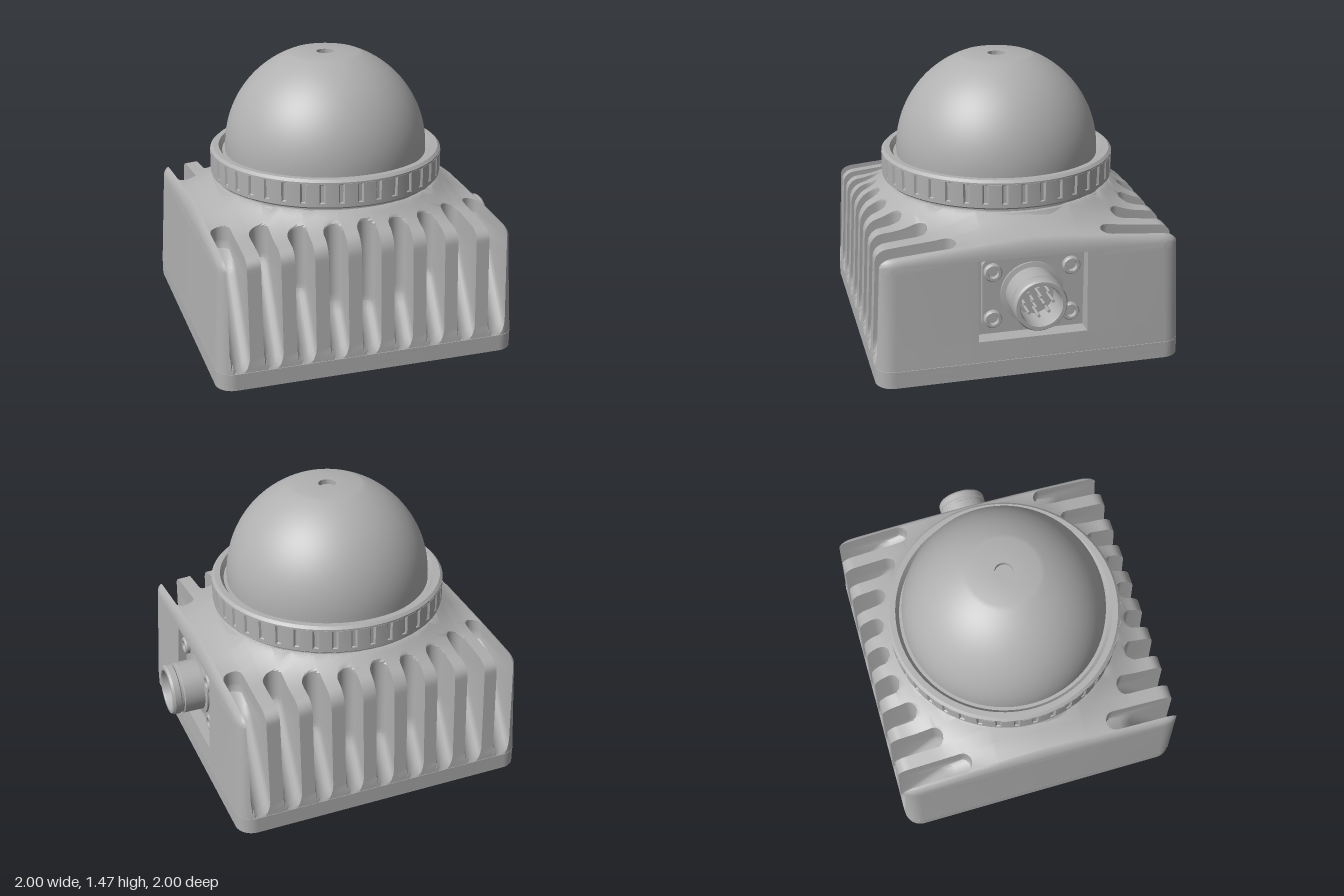
import * as THREE from 'three';
import { toCreasedNormals } from 'three/addons/utils/BufferGeometryUtils.js';

const grey = new THREE.MeshStandardMaterial({ color: 0xb0b0b0 });
grey.name = 'cast grey';

const HALF = 0.79;      // half width of the housing
const WALL_TOP = 0.62;  // where the side walls start to round over
const POCKET = { z: 0.28, bottom: 0.2, top: WALL_TOP, floor: 0.7 };
const AXIS_Y = 0.425;   // height of the connector

function add(parent, name, geometry, x = 0, y = 0, z = 0) {
  const mesh = new THREE.Mesh(geometry, grey);
  mesh.name = name;
  mesh.position.set(x, y, z);
  parent.add(mesh);
  return mesh;
}

function lathe(points, segments = 64) {
  const g = new THREE.LatheGeometry(points.map(([r, y]) => new THREE.Vector2(r, y)), segments);
  return toCreasedNormals(g, 0.5);
}

const clamp01 = (v) => Math.min(1, Math.max(0, v));
const draft = (y) => 0.028 * (Math.min(y, WALL_TOP) - 0.09) / 0.53;

// Roof height: gentle slope that flares up to the round neck
function roof(x, z) {
  const r = Math.max(0.58, Math.hypot(x, z));
  return 0.66 + 0.14 * Math.max(0, 1.05 - r) + 0.08 * clamp01((0.8 - r) / 0.2) ** 2;
}

const wallRows = [0.09, 0.11];
for (let k = 0; k <= 16; k++) wallRows.push(0.14 + 0.03 * k);

// One half section (front wall, rounded shoulder, roof) as [x, y, z] points;
// a slot pushes the points back to its sloping floor
function halfSection(u, slot) {
  const a = Math.abs(u);
  const e = Math.max(0, a - 0.7);
  const corner = 0.09 - Math.sqrt(Math.max(0, 0.0081 - e * e));
  const round = Math.sqrt(Math.max(0, 1 - (Math.max(0, a - 0.73) / 0.06) ** 2));
  const pts = wallRows.map((y) => [y, HALF - corner - draft(y)]);
  const top = HALF - corner - draft(WALL_TOP);
  const lift = (z, s) => WALL_TOP + (roof(u, z) - WALL_TOP) * round * s;
  for (let i = 1; i <= 6; i++) {
    const t = (i / 6) * Math.PI / 2;
    const z = top - 0.06 * (1 - Math.cos(t));
    pts.push([lift(z, Math.sin(t)), z]);
  }
  for (let i = 1; i <= 30; i++) {
    const z = (top - 0.06) * (1 - i / 45);
    pts.push([lift(z, 1), z]);
  }
  pts.push([lift(0, 1), 0]);
  return pts.map(([y, z]) => {
    if (slot) {
      const slope = HALF - 0.66 * (y - 0.09) - 2 * Math.max(0, y - 0.55);
      z = Math.min(z, Math.max(slot.end, slope) + slot.offset);
    }
    const x = Math.sign(u) * (a - clamp01((a - 0.73) / 0.06) * draft(y));
    return [x, y, z];
  });
}

function fullSection(u, slot) {
  const half = halfSection(u, slot);
  const back = half.slice(0, -1).reverse().map(([x, y, z]) => [x, y, -z]);
  return [...half, ...back];
}

// Housing: sections lofted along x, alternating fins and slots
function housingGeometry() {
  const ends = [0.79, 0.788, 0.782, 0.772, 0.758, 0.745];
  const sections = ends.map((u) => fullSection(-u));
  const slotEnds = [0.64, 0.63, 0.58, 0.48, 0.37];
  for (let i = -4; i <= 4; i++) {
    const x = i * 0.17, w = 0.05;
    sections.push(fullSection(x - w));
    for (const d of [-1, -0.92, -0.7, -0.35, 0, 0.35, 0.7, 0.92, 1]) {
      const offset = w * (1 - Math.sqrt(1 - d * d));
      sections.push(fullSection(x + d * w, { end: slotEnds[Math.abs(i)], offset }));
    }
    sections.push(fullSection(x + w));
  }
  sections.push(...ends.slice().reverse().map((u) => fullSection(u)));

  const pos = [];
  const v = (p) => new THREE.Vector3(...p);
  const tri = (a, b, c) => {
    const area = v(b).sub(v(a)).cross(v(c).sub(v(a))).length();
    if (area > 1e-8) pos.push(...a, ...b, ...c);
  };
  const quad = (a, b, c, d) => { tri(a, b, c); tri(a, c, d); };
  const n = sections[0].length;
  for (let s = 0; s < sections.length - 1; s++) {
    const p = sections[s], q = sections[s + 1];
    for (let r = 0; r < n - 1; r++) quad(p[r], q[r], q[r + 1], p[r + 1]);
  }
  // End walls; the right one leaves an opening for the connector pocket
  const left = sections[0], right = sections[sections.length - 1];
  const at = (p, z) => [p[0], p[1], z];
  for (let i = 0; i < wallRows.length - 1; i++) {
    quad(left[n - 1 - i], left[i], left[i + 1], left[n - 2 - i]);
    const f = right[i], f2 = right[i + 1], b = right[n - 1 - i], b2 = right[n - 2 - i];
    if (wallRows[i] > POCKET.bottom - 0.001) {
      quad(f, at(f, POCKET.z), at(f2, POCKET.z), f2);
      quad(at(b, -POCKET.z), b, b2, at(b2, -POCKET.z));
    } else quad(f, b, b2, f2);
  }
  const g = new THREE.BufferGeometry();
  g.setAttribute('position', new THREE.Float32BufferAttribute(pos, 3));
  return toCreasedNormals(g, 0.55);
}

// Open box seen from inside, its rim following the drafted wall
function pocketGeometry() {
  const h = POCKET.top - POCKET.bottom;
  const g = new THREE.BoxGeometry(0.1, h, POCKET.z * 2);
  g.setIndex(Array.from(g.index.array).slice(6));
  g.scale(1, 1, -1);
  const p = g.attributes.position;
  for (let i = 0; i < p.count; i++) {
    const y = p.getY(i) + (POCKET.top + POCKET.bottom) / 2;
    p.setXYZ(i, p.getX(i) > 0 ? HALF - draft(y) : POCKET.floor, y, p.getZ(i));
  }
  const flat = g.toNonIndexed();
  flat.computeVertexNormals();
  return flat;
}

function roundedRect(hx, hy, r) {
  const s = new THREE.Shape();
  s.absarc(hx - r, hy - r, r, 0, Math.PI / 2);
  s.absarc(-hx + r, hy - r, r, Math.PI / 2, Math.PI);
  s.absarc(-hx + r, -hy + r, r, Math.PI, Math.PI * 1.5);
  s.absarc(hx - r, -hy + r, r, Math.PI * 1.5, Math.PI * 2);
  s.closePath();
  return s;
}

function slab(shape, depth) {
  const g = new THREE.ExtrudeGeometry(shape, { depth, bevelEnabled: false, curveSegments: 16 });
  return toCreasedNormals(g.rotateX(-Math.PI / 2), 0.5);
}

export function createModel() {
  const model = new THREE.Group();
  const unit = new THREE.Group();
  unit.name = 'sensorUnit';
  unit.rotation.y = -THREE.MathUtils.degToRad(22);
  model.add(unit);

  // Base plate with screw holes underneath
  const plate = roundedRect(HALF, HALF, 0.09);
  const holes = [[0, 0.39, 0.022], [0, -0.59, 0.035]];
  for (const sx of [-1, 1]) for (const sz of [-1, 1]) {
    holes.push([sx * 0.69, sz * 0.69, 0.05], [sx * 0.56, sz * 0.45, 0.022]);
    add(unit, 'baseScrew', new THREE.CylinderGeometry(0.036, 0.036, 0.03, 20), sx * 0.69, 0.035, sz * 0.69);
  }
  for (const [x, y, r] of holes) plate.holes.push(new THREE.Path().absarc(x, y, r, 0, Math.PI * 2, true));
  add(unit, 'basePlate', slab(plate, 0.05));
  add(unit, 'basePlateTop', slab(roundedRect(HALF, HALF, 0.09), 0.038), 0, 0.05);

  add(unit, 'finnedHousing', housingGeometry());
  add(unit, 'connectorPocket', pocketGeometry());

  // Neck and gripped clamp ring
  add(unit, 'neck', lathe([[0.615, 0.77], [0.6, 0.795], [0.59, 0.8], [0.59, 0.83]]));
  add(unit, 'clampRing', lathe([[0.57, 0.815], [0.6, 0.815], [0.612, 0.825], [0.612, 0.845], [0.604, 0.85],
    [0.604, 0.94], [0.614, 0.945], [0.614, 0.955], [0.6, 0.968], [0.57, 0.968], [0.552, 0.94], [0.52, 0.94]], 96));
  const grip = new THREE.Shape();
  const teeth = 40, step = (Math.PI * 2) / teeth;
  for (let i = 0; i < teeth; i++) {
    for (const [f, r] of [[0, 0.605], [0.08, 0.615], [0.42, 0.616], [0.76, 0.615], [0.84, 0.605]]) {
      const a = (i + f) * step, x = r * Math.cos(a), y = r * Math.sin(a);
      if (i === 0 && f === 0) grip.moveTo(x, y); else grip.lineTo(x, y);
    }
  }
  grip.closePath();
  grip.holes.push(new THREE.Path().absarc(0, 0, 0.58, 0, Math.PI * 2, true));
  add(unit, 'ringGrip', slab(grip, 0.105), 0, 0.842);

  // Dome with flattened top and small centre hole
  const dome = [[0.535, 0.93]];
  const last = Math.acos(0.18 / 0.535);
  for (let i = 0; i <= 28; i++) {
    const a = (i / 28) * last;
    dome.push([0.535 * Math.cos(a), 0.962 + 0.535 * Math.sin(a)]);
  }
  dome.push([0.046, 1.466], [0.046, 1.44], [0, 1.44]);
  add(unit, 'dome', lathe(dome, 96));

  // Connector on the right side, built along y and turned to point outwards
  const connector = new THREE.Group();
  connector.name = 'connector';
  connector.position.set(POCKET.floor, AXIS_Y, 0);
  connector.rotation.z = -Math.PI / 2;
  unit.add(connector);
  add(connector, 'flange', slab(roundedRect(0.19, 0.25, 0.04), 0.035));
  add(connector, 'shell', lathe([[0.16, 0.03], [0.16, 0.045], [0.136, 0.05], [0.136, 0.155], [0.128, 0.16],
    [0.128, 0.172], [0.134, 0.177], [0.134, 0.208], [0.126, 0.22], [0.108, 0.22], [0.104, 0.21], [0.104, 0.07], [0, 0.07]], 48));
  const pin = (r, a) => add(connector, 'pin', new THREE.CylinderGeometry(0.008, 0.008, 0.11, 8),
    r * Math.cos(a), 0.12, r * Math.sin(a));
  for (let i = 0; i < 8; i++) pin(0.072, (i * Math.PI) / 4);
  for (let i = 0; i < 4; i++) pin(0.03, (i * Math.PI) / 2 + 0.4);
  for (const sx of [-1, 1]) for (const sz of [-1, 1]) {
    add(connector, 'flangeScrew', lathe([[0.046, 0.03], [0.046, 0.052], [0.04, 0.06], [0.028, 0.06],
      [0.024, 0.04], [0, 0.04]], 24), sx * 0.125, 0, sz * 0.2);
  }
  return model;
}
